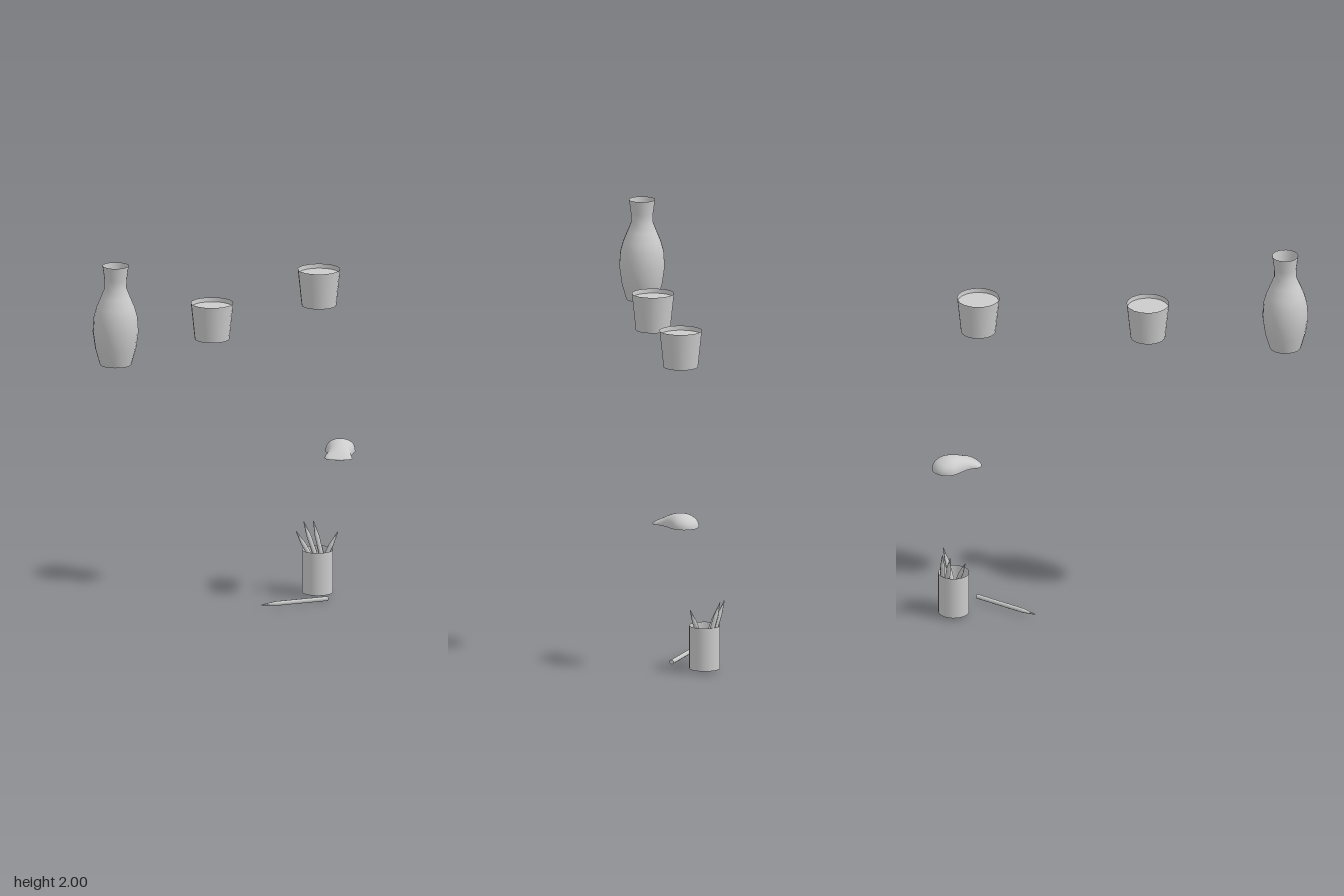
import * as THREE from 'three';
import { ParametricGeometry } from 'three/addons/geometries/ParametricGeometry.js';

const material = new THREE.MeshStandardMaterial({ color: 0xcccccc, side: THREE.DoubleSide });

function add(parent, name, geometry, x = 0, y = 0, z = 0) {
  const mesh = new THREE.Mesh(geometry, material);
  mesh.name = name;
  mesh.position.set(x, y, z);
  parent.add(mesh);
  return mesh;
}

// Revolved shell from [radius, height] pairs
const lathe = (profile, sides) =>
  new THREE.LatheGeometry(profile.map(([r, y]) => new THREE.Vector2(r, y)), sides);

export function createModel() {
  const model = new THREE.Group();
  model.name = 'deskItems';

  // Vase: open shell with a flared neck
  add(model, 'vase', lathe([
    [0.077, 0], [0.1, 0.08], [0.112, 0.165], [0.107, 0.24], [0.093, 0.29],
    [0.072, 0.34], [0.054, 0.385], [0.055, 0.43], [0.064, 0.498],
  ], 20), -0.037, 1.502, 0.81);

  // Two tapered pots, each filled to just below the rim
  for (const z of [0.133, -0.697]) {
    const pot = new THREE.Group();
    pot.name = 'pot';
    pot.position.set(0.021, 1.502, z);
    add(pot, 'potWall', lathe([[0.085, 0], [0.104, 0.182]], 20));
    add(pot, 'potFilling', new THREE.CircleGeometry(0.101, 20).rotateX(-Math.PI / 2), 0, 0.16, 0);
    model.add(pot);
  }

  // Computer mouse: half-round sections [half width, height, distance from back]
  const sections = new THREE.CatmullRomCurve3([
    [0, 0, 0], [0.033, 0.026, 0.008], [0.055, 0.045, 0.025], [0.069, 0.058, 0.05],
    [0.073, 0.064, 0.073], [0.069, 0.065, 0.1], [0.062, 0.06, 0.13], [0.058, 0.05, 0.16],
    [0.062, 0.036, 0.19], [0.068, 0.025, 0.212], [0.058, 0.013, 0.235],
    [0.034, 0.005, 0.247], [0, 0, 0.252],
  ].map((p) => new THREE.Vector3(...p)));
  const shell = new ParametricGeometry((u, v, target) => {
    const { x: w, y: h, z: s } = sections.getPoint(u);
    const a = Math.PI * (1 - v);
    target.set(w * Math.cos(a), h * Math.pow(Math.max(0, Math.sin(a)), 0.8), s - 0.073);
  }, 36, 20);
  add(model, 'computerMouse', shell, 0.03, 0.735, -0.852).rotation.y = THREE.MathUtils.degToRad(35);

  // Pencil holder: open tube
  add(model, 'pencilHolder', new THREE.CylinderGeometry(0.076, 0.076, 0.215, 24, 1, true), -0.079, 0.1225, -0.81);

  // Pencils, each running from its blunt end to its tip
  const up = new THREE.Vector3(0, 1, 0);
  function pencil(name, from, to) {
    const start = new THREE.Vector3(...from);
    const axis = new THREE.Vector3(...to).sub(start);
    const length = axis.length();
    const geometry = lathe([
      [0, 0], [0.0115, 0], [0.0115, 0], [0.0115, length - 0.075], [0.0115, length - 0.075], [0.002, length], [0, length],
    ], 8);
    add(model, name, geometry, ...from).quaternion.setFromUnitVectors(up, axis.normalize());
  }
  pencil('standingPencil', [-0.057, 0.016, -0.862], [-0.174, 0.352, -0.82]);
  pencil('standingPencil', [-0.045, 0.016, -0.866], [-0.146, 0.352, -0.86]);
  pencil('standingPencil', [-0.027, 0.016, -0.852], [-0.163, 0.32, -0.747]);
  pencil('standingPencil', [-0.115, 0.009, -0.767], [0.002, 0.32, -0.867]);
  pencil('lyingPencil', [0.068, 0.027, -0.706], [-0.106, 0.027, -0.408]);

  return model;
}
